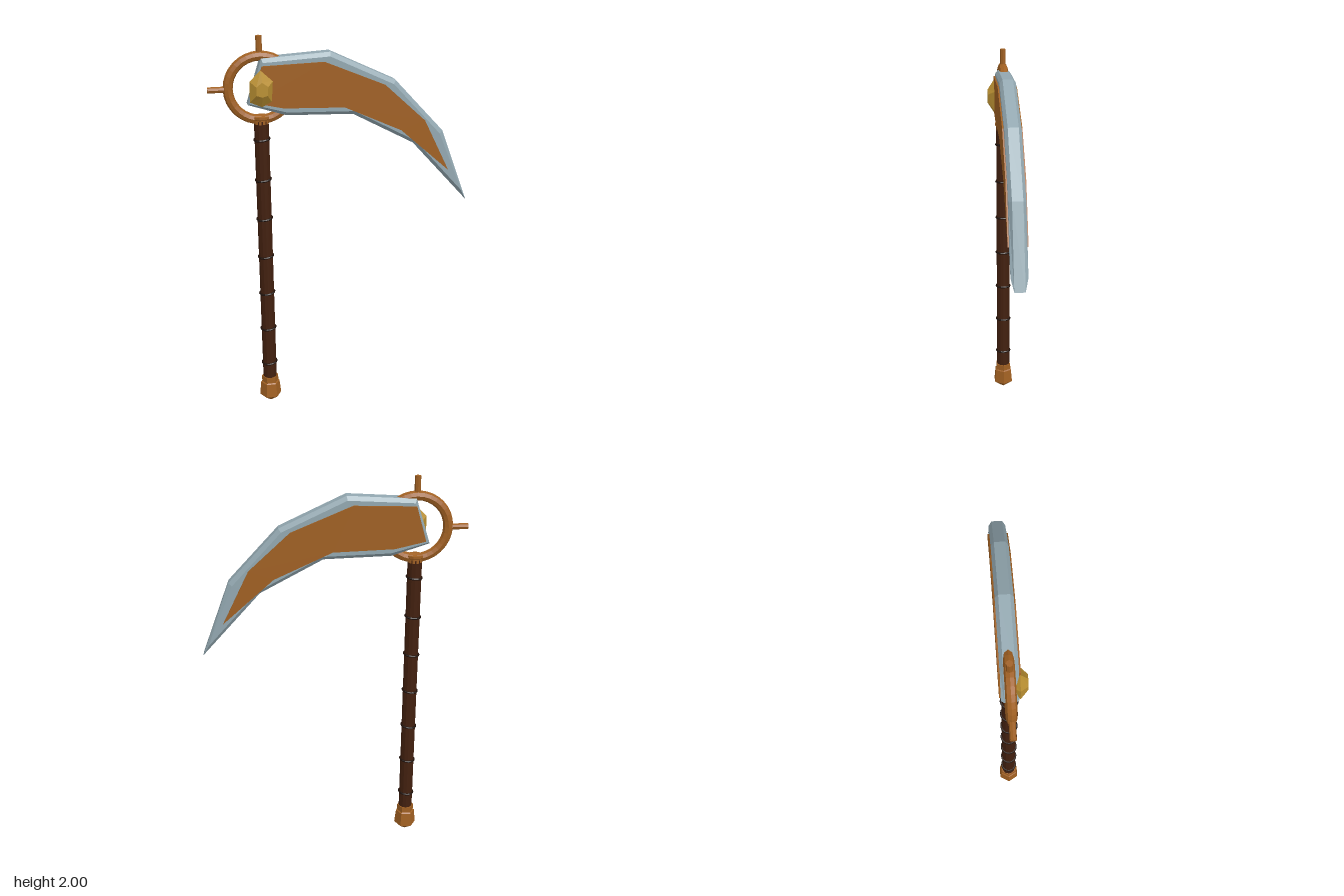
import * as THREE from 'three';

const mat = (name, color, extra = {}) => Object.assign(new THREE.MeshStandardMaterial({ color, flatShading: true, ...extra }), { name });

export function createModel() {
  const bronze = mat('bronze', 0xa06022);
  const steel = mat('steel', 0x93a8b1);
  const wood = mat('dark wood', 0x42200f);
  const cord = mat('black cord', 0x20120b);
  const gold = mat('gold', 0xb98f32);

  const model = new THREE.Group();
  const X = -0.405, Z = -0.02, RING_Y = 1.75;
  const add = (name, geometry, material, x = X, y = 0, z = Z) => {
    const mesh = new THREE.Mesh(geometry, material);
    mesh.name = name;
    mesh.position.set(x, y, z);
    model.add(mesh);
    return mesh;
  };
  const lathe = (profile, sides) =>
    new THREE.LatheGeometry(profile.map(([r, y]) => new THREE.Vector2(r, y)), sides, Math.PI / 2);

  // Solid made of matching outlines stacked from back to front, capped at both ends
  const stack = (layers) => {
    const n = layers[0][0].length, pos = [], index = [];
    for (const [outline, z] of layers) for (const [x, y] of outline) pos.push(x, y, z);
    for (let l = 0; l < layers.length - 1; l++)
      for (let i = 0; i < n; i++) {
        const a = l * n + i, b = l * n + (i + 1) % n;
        index.push(a, b, b + n, a, b + n, a + n);
      }
    const capOf = (outline) => THREE.ShapeUtils.triangulateShape(outline.map(([x, y]) => new THREE.Vector2(x, y)), []);
    const last = (layers.length - 1) * n;
    for (const [a, b, c] of capOf(layers[0][0])) index.push(a, c, b);
    for (const [a, b, c] of capOf(layers[layers.length - 1][0])) index.push(a + last, b + last, c + last);
    const g = new THREE.BufferGeometry();
    g.setAttribute('position', new THREE.Float32BufferAttribute(pos, 3));
    g.setIndex(index);
    const flat = g.toNonIndexed();
    flat.computeVertexNormals();
    return flat;
  };

  // Handle with its slightly tilted cord bindings
  add('handle', new THREE.CylinderGeometry(0.036, 0.036, 1.44, 12), wood, X, 0.87);
  for (let i = 0; i < 7; i++) {
    const binding = add('cordBinding', new THREE.TorusGeometry(0.037, 0.006, 6, 16), cord, X, 0.249 + i * 0.2077);
    binding.rotation.set(Math.PI / 2, 0.1, 0);
  }

  // Faceted pommel and the collar under the ring
  add('pommel', lathe([[0, 0.005], [0.058, 0.05], [0.05, 0.125], [0.044, 0.13], [0.044, 0.163], [0, 0.163]], 6), bronze);
  add('collar', lathe([[0, 1.575], [0.037, 1.575], [0.037, 1.595], [0.043, 1.6], [0.043, 1.612], [0, 1.612]], 10), bronze);

  // Ring with two pegs
  add('ring', new THREE.TorusGeometry(0.155, 0.024, 8, 32), bronze, X, RING_Y);
  add('topPeg', new THREE.CylinderGeometry(0.015, 0.015, 0.09, 8), bronze, X, 1.955);
  add('sidePeg', new THREE.CylinderGeometry(0.015, 0.015, 0.09, 8), bronze, X - 0.207, RING_Y).rotation.z = Math.PI / 2;

  // Curved blade: counter-clockwise outlines, starting at the lower heel
  const edge = [[-0.47, 1.675], [-0.285, 1.615], [0.045, 1.603], [0.357, 1.435], [0.652, 1.108],
    [0.51, 1.49], [0.26, 1.76], [-0.066, 1.914], [-0.40, 1.895]];
  const face = [[-0.462, 1.683], [-0.282, 1.632], [0.05, 1.62], [0.367, 1.448], [0.62, 1.165],
    [0.492, 1.478], [0.247, 1.744], [-0.07, 1.894], [-0.393, 1.877]];
  add('blade', stack([[face, -0.06], [edge, -0.045], [edge, 0.006], [face, 0.021]]), steel, 0, 0, 0);

  // Bronze inlay plates on both faces
  const inlay = [[-0.45, 1.69], [-0.3, 1.655], [0, 1.643], [0.288, 1.51], [0.543, 1.283],
    [0.41, 1.553], [0.204, 1.743], [-0.098, 1.87], [-0.4, 1.862]];
  add('frontInlay', stack([[inlay, 0.0205], [inlay, 0.028]]), bronze, 0, 0, 0);
  add('backInlay', stack([[inlay, -0.067], [inlay, -0.0595]]), bronze, 0, 0, 0);

  // Cut stud at the blade's heel
  const rim = [[0, -0.09], [0.05, -0.07], [0.058, 0.035], [0, 0.09], [-0.055, 0.035], [-0.057, -0.065]];
  const crown = rim.map(([x, y]) => [x * 0.5, y * 0.4]);
  add('stud', stack([[crown, -0.015], [rim, 0.025], [crown, 0.06]]), gold, X, 1.757, 0);

  return model;
}
